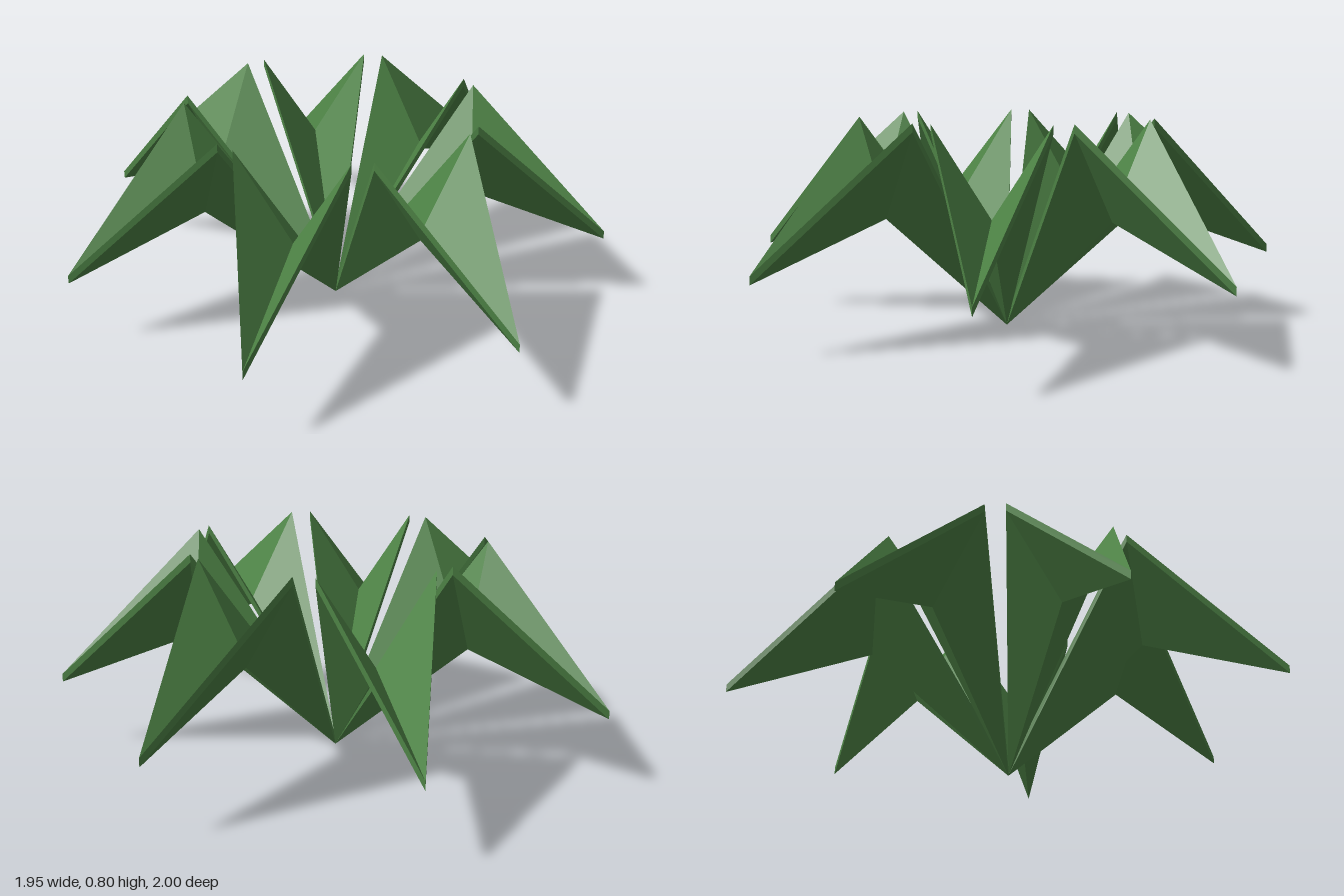
import * as THREE from 'three';

const LEAVES = 7;
const THICKNESS = 0.03;

// One folded, kite-shaped leaf pointing along +x from its root
function leafGeometry() {
  const rim = [[0, 0, 0], [0.512, 0.77, 0.205], [1.024, 0.265, 0], [0.512, 0.77, -0.205]];
  const fold = [0.512, 0.45, 0];
  const up = ([x, y, z]) => [x, y + THICKNESS, z];
  const points = [];
  const triangle = (a, b, c) => points.push(...a, ...b, ...c);
  rim.forEach((a, i) => {
    const b = rim[(i + 1) % rim.length];
    triangle(up(a), up(b), up(fold)); // upper facet
    triangle(b, a, fold); // lower facet
    triangle(a, b, up(b)); // thin edge
    triangle(a, up(b), up(a));
  });
  const geometry = new THREE.BufferGeometry();
  geometry.setAttribute('position', new THREE.Float32BufferAttribute(points, 3));
  geometry.computeVertexNormals();
  return geometry;
}

export function createModel() {
  const plant = new THREE.Group();
  plant.name = 'plant';
  const leafGreen = new THREE.MeshStandardMaterial({ color: 0x4d8245 });
  leafGreen.name = 'leafGreen';
  leafGreen.flatShading = true;

  // Ring of leaves sharing one root point
  const geometry = leafGeometry();
  for (let i = 0; i < LEAVES; i++) {
    const leaf = new THREE.Mesh(geometry, leafGreen);
    leaf.name = `leaf${i + 1}`;
    leaf.position.x = -0.05;
    leaf.rotation.y = (i / LEAVES) * Math.PI * 2;
    plant.add(leaf);
  }
  return plant;
}
